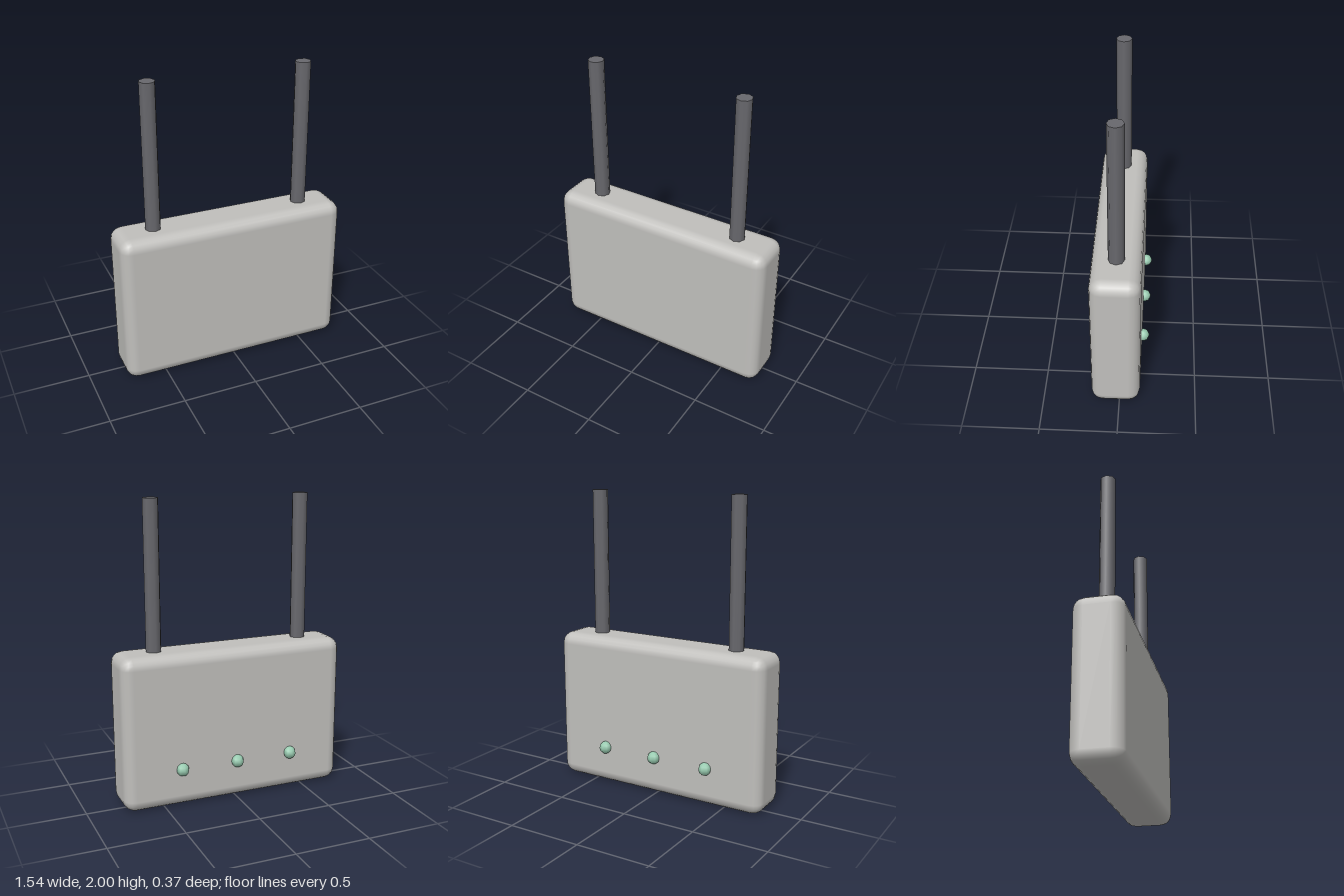
import * as THREE from 'three';
import { RoundedBoxGeometry } from 'three/addons/geometries/RoundedBoxGeometry.js';

const CENTER_Z = 0.026;

export function createModel() {
  const model = new THREE.Group();
  model.name = 'router';

  const material = (name, color) => {
    const m = new THREE.MeshStandardMaterial({ color });
    m.name = name;
    return m;
  };
  const shell = material('light grey shell', 0xc0bfbc);
  const rubber = material('dark grey rubber', 0x68686d);
  const lamp = material('mint green lamp', 0x98cbb0);

  const add = (name, geometry, mat, x, y, z) => {
    const mesh = new THREE.Mesh(geometry, mat);
    mesh.name = name;
    mesh.position.set(x, y, z);
    model.add(mesh);
  };

  // Rounded case
  add('case', new RoundedBoxGeometry(1.542, 1.03, 0.32, 2, 0.077), shell, 0, 0.515, CENTER_Z);

  // Pair of upright antennas, sunk slightly into the case
  const antenna = new THREE.CylinderGeometry(0.0515, 0.0515, 1.0, 8);
  for (const side of [-1, 1]) {
    add(side > 0 ? 'leftAntenna' : 'rightAntenna', antenna, rubber, side * 0.514, 1.5, CENTER_Z);
  }

  // Row of three indicator lamps on the rear face
  const bulb = new THREE.SphereGeometry(0.043, 8, 6);
  ['rightLamp', 'middleLamp', 'leftLamp'].forEach((name, i) => {
    add(name, bulb, lamp, (i - 1) * 0.387, 0.262, -0.143);
  });

  return model;
}
